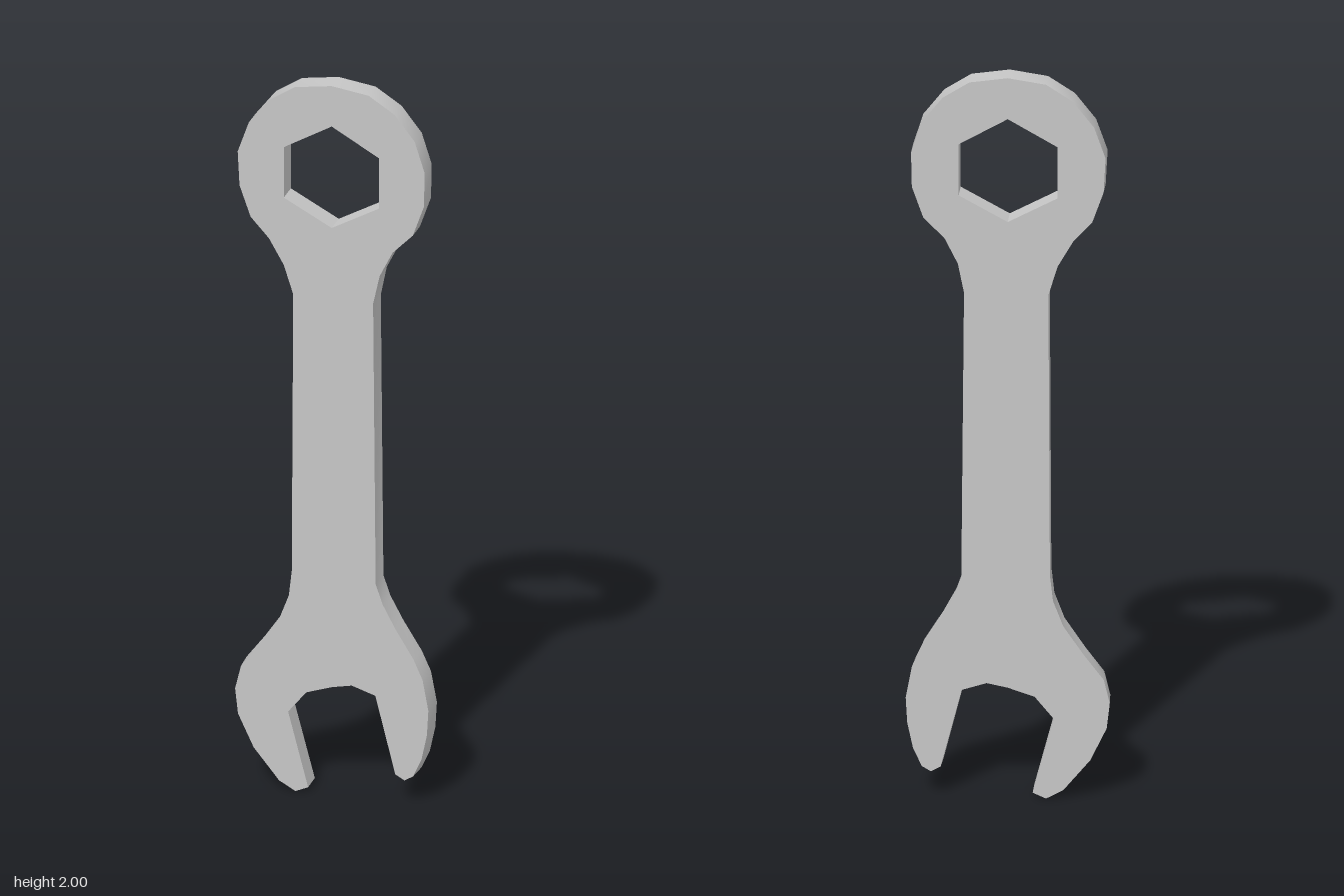
import * as THREE from 'three';
import { toCreasedNormals } from 'three/addons/utils/BufferGeometryUtils.js';

const toPoints = list => list.map(([x, y]) => new THREE.Vector2(x, y));

// Outline parts, running clockwise from the top of the ring
const ringRight = [[0, 2], [0.1, 1.985], [0.17, 1.94], [0.225, 1.87], [0.252, 1.785],
  [0.25, 1.69], [0.22, 1.605]];
const handleRight = [[0.165, 1.55], [0.13, 1.48], [0.114, 1.4], [0.121, 0.61], [0.14, 0.555], [0.175, 0.49]];
const jawRight = [[0.225, 0.41], [0.25, 0.355], [0.266, 0.27], [0.262, 0.2], [0.247, 0.13],
  [0.224, 0.08], [0.2, 0.066], [0.175, 0.08]];
const mouth = [[0.12, 0.295], [0.055, 0.316], [0, 0.305], [-0.07, 0.282], [-0.12, 0.222], [-0.065, 0.015]];
const jawLeft = [[-0.1, 0], [-0.145, 0.025], [-0.215, 0.11], [-0.258, 0.2], [-0.266, 0.27],
  [-0.25, 0.335], [-0.2, 0.4]];
const handleLeft = [[-0.145, 0.48], [-0.118, 0.55], [-0.11, 0.62], [-0.106, 1.4], [-0.13, 1.48], [-0.17, 1.55]];
const ringLeft = [[-0.22, 1.605], [-0.25, 1.69], [-0.255, 1.785], [-0.225, 1.87], [-0.17, 1.94], [-0.1, 1.985]];

// Ring hole, running counter-clockwise so that its walls face inwards
const hexHole = [[0, 1.886], [-0.13, 1.812], [-0.13, 1.67], [0, 1.6], [0.128, 1.67], [0.128, 1.812]];

export function createModel() {
  const model = new THREE.Group();
  model.name = 'spanner';

  const steel = new THREE.MeshStandardMaterial({ color: 0xc6c6c6 });
  steel.name = 'steel grey';

  // Flat body with the open jaw below and the hexagonal ring above
  const shape = new THREE.Shape(toPoints([...ringRight, ...handleRight, ...jawRight, ...mouth,
    ...jawLeft, ...handleLeft, ...ringLeft]));
  shape.holes.push(new THREE.Path(toPoints(hexHole)));

  const geometry = new THREE.ExtrudeGeometry(shape, { depth: 0.064, bevelEnabled: false, steps: 1 });
  geometry.translate(0, 0, -0.032);

  // Below the ring, the front face is slightly narrower than the back
  const pos = geometry.attributes.position;
  for (let i = 0; i < pos.count; i++) {
    if (pos.getZ(i) > 0 && pos.getY(i) < 1.45) pos.setX(i, pos.getX(i) * 0.985);
  }

  const body = new THREE.Mesh(toCreasedNormals(geometry, 0.72), steel);
  body.name = 'spannerBody';
  model.add(body);
  return model;
}
